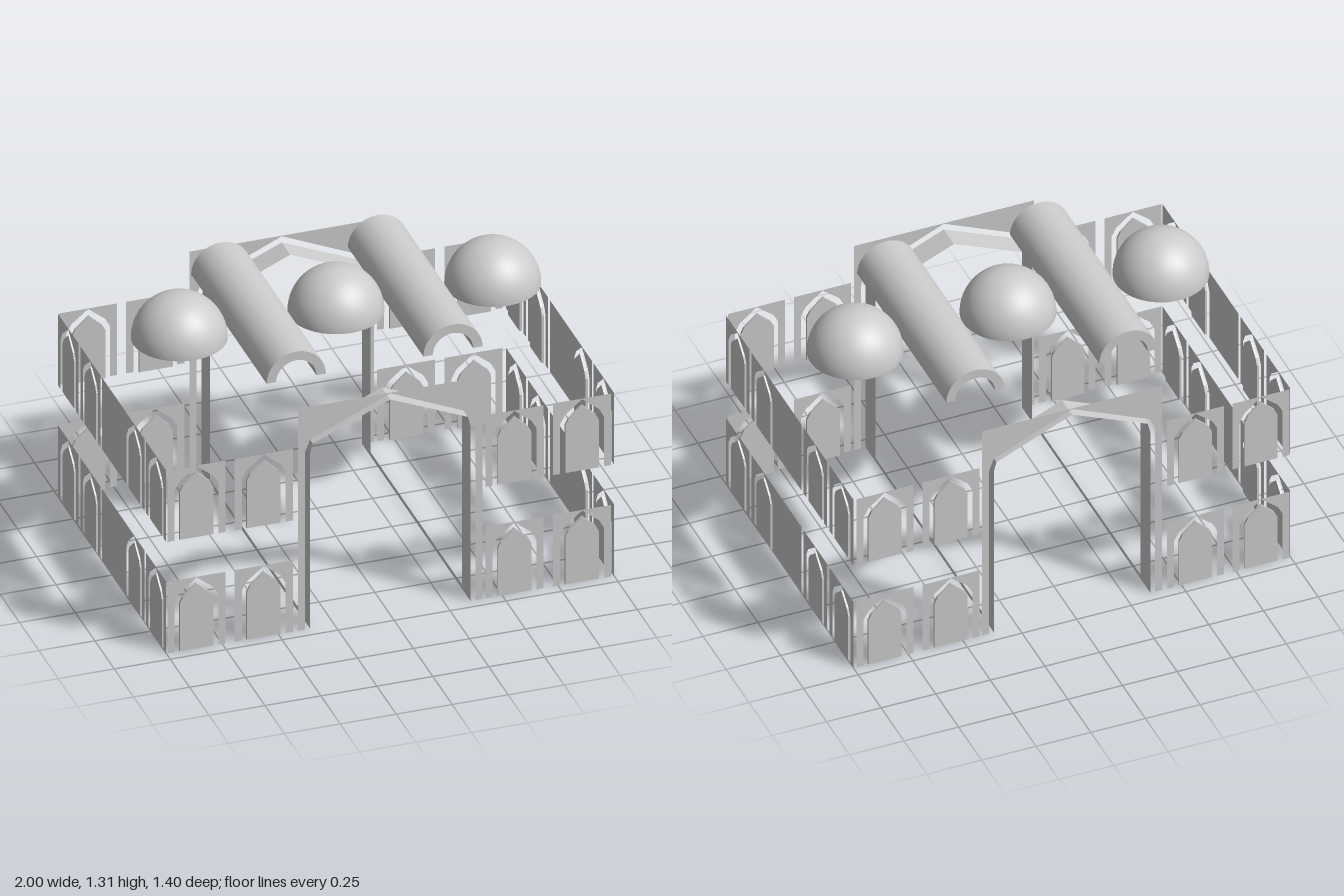
import * as THREE from 'three';

const solid = new THREE.MeshStandardMaterial({ color: 0xcccccc });
const thin = new THREE.MeshStandardMaterial({ color: 0xcccccc, side: THREE.DoubleSide });

function add(parent, name, geometry, material = solid) {
  const mesh = new THREE.Mesh(geometry, material);
  mesh.name = name;
  parent.add(mesh);
  return mesh;
}

// Right half of an outline (bottom to top) completed by its mirror image
const mirrored = (half) => [
  ...half,
  ...half.filter(([x]) => x > 0).reverse().map(([x, y]) => [-x, y]),
];
const shapeOf = (points) => new THREE.Shape(points.map(([x, y]) => new THREE.Vector2(x, y)));

// Flat sheet with an arch cut out from its bottom edge
function archedSheet(halfWidth, height, arch) {
  return new THREE.ShapeGeometry(shapeOf([
    [-halfWidth, 0], ...mirrored(arch).reverse(), [halfWidth, 0],
    [halfWidth, height], [-halfWidth, height],
  ]));
}

// Open ribbon: a polyline in x, y carried from z0 to z1
function ribbon(points, z0, z1) {
  const pos = [];
  for (let i = 0; i < points.length - 1; i++) {
    const [a, b] = points[i], [c, d] = points[i + 1];
    pos.push(a, b, z0, c, d, z0, c, d, z1, a, b, z0, c, d, z1, a, b, z1);
  }
  const g = new THREE.BufferGeometry();
  g.setAttribute('position', new THREE.Float32BufferAttribute(pos, 3));
  g.computeVertexNormals();
  return g;
}

const opening = [[0.098, 0], [0.098, 0.243], [0.076, 0.284], [0, 0.346]];
const panel = [[0.075, 0], [0.075, 0.232], [0.06, 0.262], [0, 0.317]];
const gateOpening = [[0.38, 0], [0.38, 0.865], [0.36, 0.92], [0, 1.08]];
const gateLining = [[0.358, 0], [0.358, 0.855], [0.346, 0.9], [0, 1.05]];

const frameGeo = archedSheet(0.13, 0.349, opening);
const panelGeo = new THREE.ExtrudeGeometry(shapeOf(mirrored(panel)), { depth: 0.01, bevelEnabled: false });
panelGeo.translate(0, 0, -0.01);

// Pointed niche: thin frame with a separate panel inside it
function niche() {
  const g = new THREE.Group();
  g.name = 'niche';
  add(g, 'nicheFrame', frameGeo, thin);
  add(g, 'nichePanel', panelGeo);
  return g;
}

export function createModel() {
  const model = new THREE.Group();
  model.name = 'pavilion';

  // Two storeys of walls
  for (const y of [0, 0.543]) {
    for (const side of [1, -1]) {
      for (const x of [-0.865, -0.565, 0.555, 0.857]) {
        const n = niche();
        n.position.set(x, y, side * 0.7);
        if (side < 0) n.rotation.y = Math.PI;
        model.add(n);
      }
      for (const z of [0.566, 0.285, -0.281, -0.566]) {
        const n = niche();
        n.position.set(side, y, z);
        n.rotation.y = side * Math.PI / 2;
        model.add(n);
      }
      // Plain wall in the middle of each side
      const wall = add(model, 'plainWall', new THREE.PlaneGeometry(0.284, 0.349), thin);
      wall.position.set(side, y + 0.1745, 0.013);
      wall.rotation.y = side * Math.PI / 2;
    }
  }

  // Front and back gates, each with a lining set inside the opening
  for (const side of [1, -1]) {
    const gate = new THREE.Group();
    gate.name = 'gate';
    add(gate, 'gateFace', archedSheet(0.412, 1.083, gateOpening), thin);
    add(gate, 'gateLining', ribbon(mirrored(gateLining), -0.11, 0), thin);
    gate.position.z = side * 0.7;
    if (side < 0) gate.rotation.y = Math.PI;
    model.add(gate);

    // Low kerb running between the gates
    add(model, 'kerb', ribbon([[side * 0.358, 0], [side * 0.358, 0.02]], -0.59, 0.59), thin);
  }

  // Hemispherical domes with closed undersides
  for (const x of [-0.7, 0, 0.7]) {
    const dome = new THREE.Group();
    dome.name = 'dome';
    add(dome, 'domeShell', new THREE.SphereGeometry(0.205, 48, 20, 0, Math.PI * 2, 0, Math.PI / 2));
    add(dome, 'domeBase', new THREE.CircleGeometry(0.205, 48)).rotation.x = Math.PI / 2;
    dome.position.set(x, 1.104, 0);
    model.add(dome);
  }

  // Half-round barrel vaults between the domes
  const section = new THREE.Shape();
  section.absarc(0, 0, 0.132, 0, Math.PI, false);
  section.absarc(0, 0, 0.09, Math.PI, 0, true);
  section.closePath();
  const vaultGeo = new THREE.ExtrudeGeometry(section, { depth: 0.975, bevelEnabled: false, curveSegments: 24 });
  for (const x of [-0.348, 0.352]) {
    add(model, 'barrelVault', vaultGeo).position.set(x, 1.104, -0.482);
  }

  return model;
}
